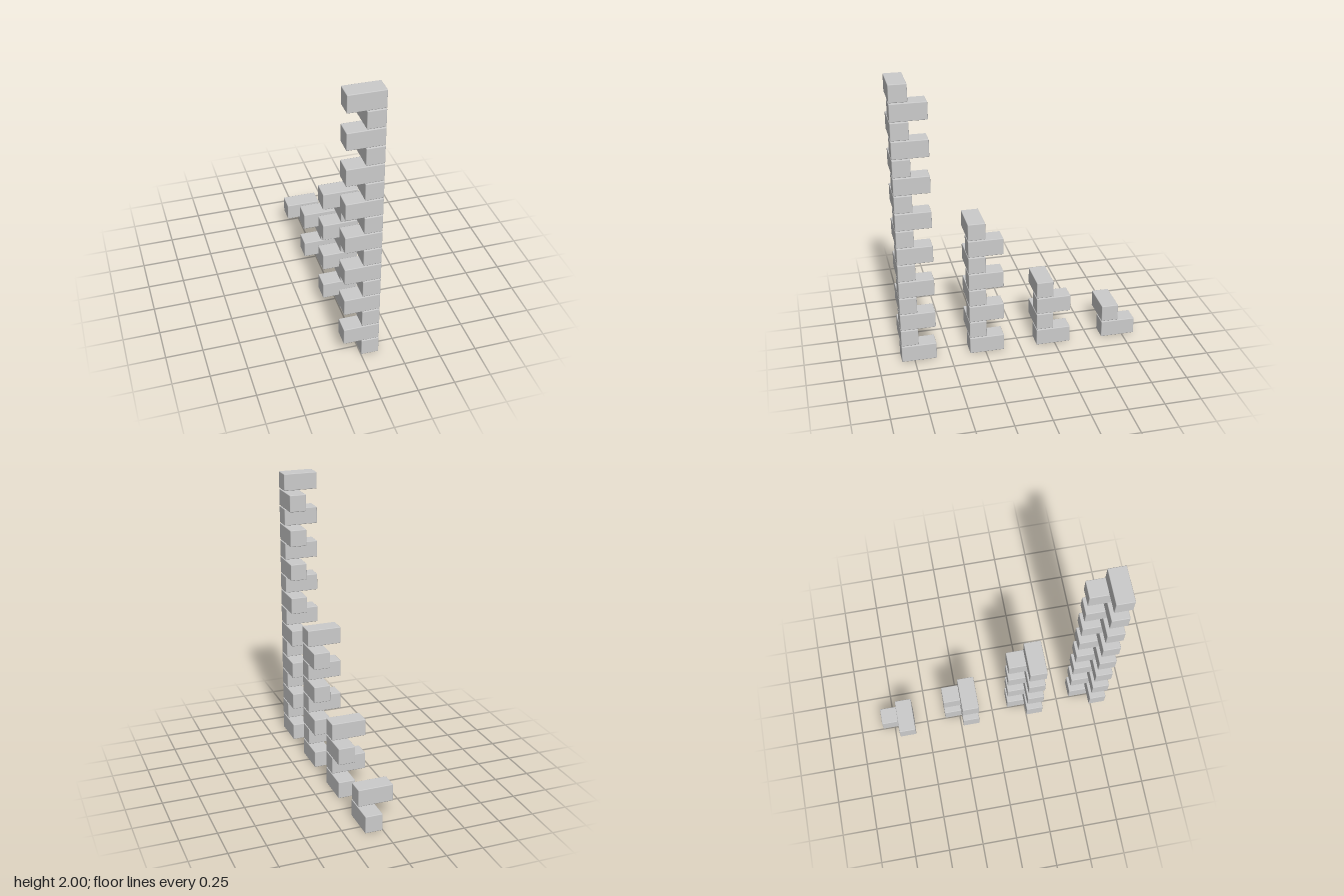
import * as THREE from 'three';
import { RoundedBoxGeometry } from 'three/addons/geometries/RoundedBoxGeometry.js';

const LENGTH = 0.243;   // long side of a brick
const SIZE = 0.12;      // height and width of a brick
const STEP = (2 - SIZE) / 15;
const SPACING = 0.478;  // distance between towers
const OFFSET = (LENGTH - SIZE) / 2;

export function createModel() {
  const model = new THREE.Group();
  const material = new THREE.MeshStandardMaterial({ color: 0xcccccc });
  const alongZ = new RoundedBoxGeometry(SIZE, SIZE, LENGTH, 1, 0.005);
  const alongX = new RoundedBoxGeometry(LENGTH, SIZE, SIZE, 1, 0.005);

  // Four towers, each half as tall as the one in front of it
  [16, 8, 4, 2].forEach((count, t) => {
    const tower = new THREE.Group();
    tower.name = `tower${t + 1}`;
    tower.position.z = (1.5 - t) * SPACING;

    // Bricks alternate direction around a shared front left corner
    for (let i = 0; i < count; i++) {
      const crosswise = i % 2 === 1;
      const brick = new THREE.Mesh(crosswise ? alongX : alongZ, material);
      brick.name = crosswise ? 'crosswiseBrick' : 'lengthwiseBrick';
      brick.position.set(crosswise ? 0 : OFFSET, SIZE / 2 + i * STEP, crosswise ? OFFSET : 0);
      tower.add(brick);
    }
    model.add(tower);
  });
  return model;
}
